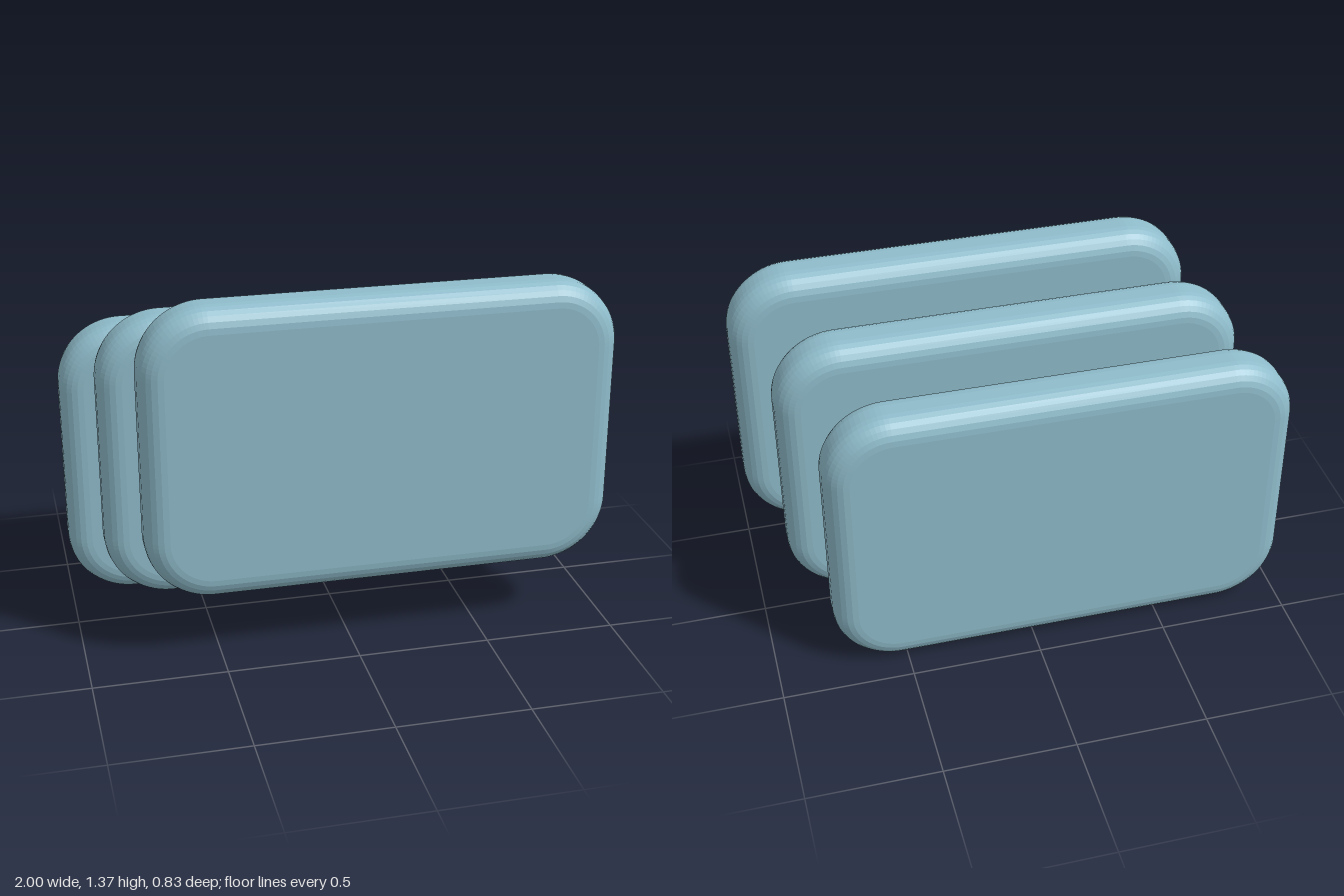
import * as THREE from 'three';

const WIDTH = 1.77, HEIGHT = 1.12, DEPTH = 0.215;
const CORNER = 0.25; // outline corner radius
const BEVEL = 0.087, BEVEL_Z = 0.08; // rounded rim

// Rounded rectangle, inset so that the bevel grows it to full size
function slabShape() {
  const w = WIDTH / 2 - BEVEL, h = HEIGHT / 2 - BEVEL, r = CORNER - BEVEL;
  const shape = new THREE.Shape();
  shape.absarc(w - r, h - r, r, 0, Math.PI / 2);
  shape.absarc(-w + r, h - r, r, Math.PI / 2, Math.PI);
  shape.absarc(-w + r, -h + r, r, Math.PI, Math.PI * 1.5);
  shape.absarc(w - r, -h + r, r, Math.PI * 1.5, Math.PI * 2);
  return shape;
}

export function createModel() {
  const group = new THREE.Group();
  group.name = 'stackedSlabs';
  const material = new THREE.MeshStandardMaterial({ color: 0x8fbccb });

  const geometry = new THREE.ExtrudeGeometry(slabShape(), {
    depth: DEPTH - 2 * BEVEL_Z,
    bevelEnabled: true,
    bevelSize: BEVEL,
    bevelThickness: BEVEL_Z,
    bevelSegments: 6,
    curveSegments: 10,
  });
  geometry.center();

  // Three equal slabs, each stepped sideways, up and forward
  ['backSlab', 'middleSlab', 'frontSlab'].forEach((name, i) => {
    const step = i - 1;
    const slab = new THREE.Mesh(geometry, material);
    slab.name = name;
    slab.position.set(step * 0.115, HEIGHT / 2 + i * 0.124, step * 0.308);
    group.add(slab);
  });

  return group;
}
